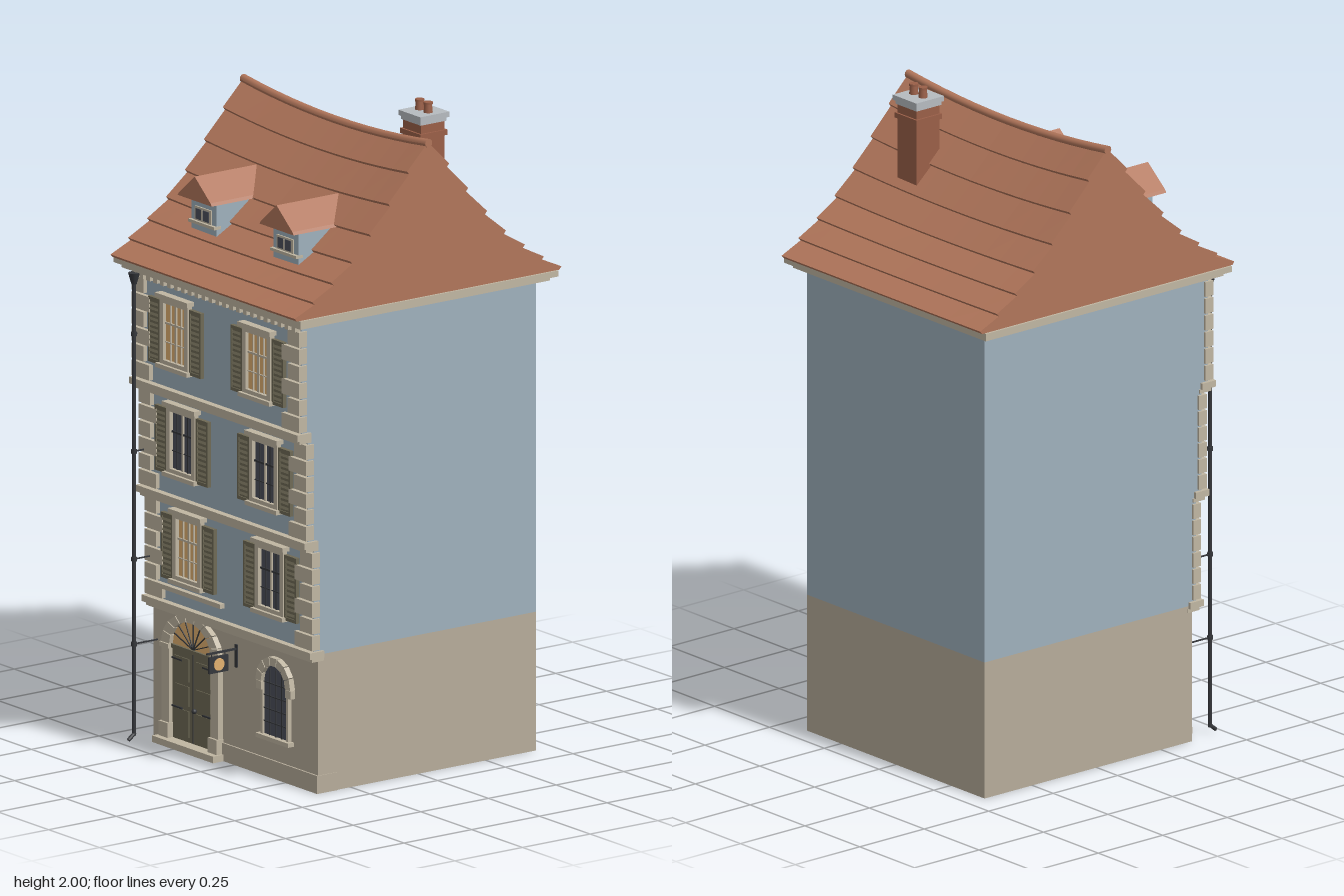
import * as THREE from 'three';

const mat = (name, color) => {
  const m = new THREE.MeshStandardMaterial({ color });
  m.name = name;
  return m;
};

export function createModel() {
  const wall = mat('blue plaster', 0x9fb0bc), base = mat('ground plaster', 0xb6ac9a);
  const stone = mat('trim stone', 0xc0b6a2), tile = mat('roof tile', 0xb0755a);
  const olive = mat('olive wood', 0x6f6a56), dark = mat('dark glass', 0x4c4f5a);
  const lit = mat('lit glass', 0xe2b070), iron = mat('iron', 0x35373b);
  const brick = mat('brick', 0x9a5f48), slab = mat('chimney cap grey', 0xb6bbc0);

  const model = new THREE.Group();
  model.name = 'townhouse';
  const group = (name, x = 0, y = 0, z = 0, parent = model) => {
    const g = new THREE.Group();
    g.name = name;
    g.position.set(x, y, z);
    parent.add(g);
    return g;
  };
  const add = (p, name, geo, m, x = 0, y = 0, z = 0) => {
    const mesh = new THREE.Mesh(geo, m);
    mesh.name = name;
    mesh.position.set(x, y, z);
    p.add(mesh);
    return mesh;
  };
  const box = (p, name, m, w, h, d, x, y, z) => add(p, name, new THREE.BoxGeometry(w, h, d), m, x, y, z);
  // box given by its limits
  const span = (p, name, m, x0, x1, y0, y1, z0, z1) =>
    box(p, name, m, x1 - x0, y1 - y0, z1 - z0, (x0 + x1) / 2, (y0 + y1) / 2, (z0 + z1) / 2);
  const rod = (p, name, m, r, h, x, y, z, n = 12) => add(p, name, new THREE.CylinderGeometry(r, r, h, n), m, x, y, z);
  const plate = (pts, depth) => new THREE.ExtrudeGeometry(
    new THREE.Shape(pts.map(([x, y]) => new THREE.Vector2(x, y))), { depth, bevelEnabled: false });
  // upper half of an ellipse as points, right to left
  const halfEllipse = (rx, ry, cy, n = 16) => Array.from({ length: n + 1 }, (_, i) => {
    const a = Math.PI * i / n;
    return [rx * Math.cos(a), cy + ry * Math.sin(a)];
  });
  const archStones = (p, cy, r, R, n, depth) => {
    const at = ([rx, ry], a) => [rx * Math.cos(a), cy + ry * Math.sin(a)];
    for (let i = 0; i < n; i++) {
      const a = Math.PI * (i + 0.04) / n, b = Math.PI * (i + 0.96) / n;
      add(p, 'archStone', plate([at(r, a), at(R, a), at(R, b), at(r, b)], depth), stone);
    }
  };

  // storeys, each reaching further forward than the one below
  const storeys = [
    { y0: 0, y1: 0.425, z: 0.37 }, { y0: 0.425, y1: 0.765, z: 0.385 },
    { y0: 0.765, y1: 1.1, z: 0.407 }, { y0: 1.1, y1: 1.45, z: 0.432 }];
  storeys.forEach((s, i) => {
    span(model, 'storey', i ? wall : base, -0.405, 0.405, s.y0, s.y1, -0.435, s.z);
    if (!i) return;
    span(model, 'stringCourse', stone, -0.415, 0.415, s.y0 - 0.008, s.y0 + 0.012, s.z - 0.03, s.z + 0.022);
    span(model, 'stringCourseFoot', stone, -0.408, 0.408, s.y0 - 0.02, s.y0 - 0.008, s.z - 0.035, s.z + 0.01);
    // corner stones, alternately long and short
    const bottom = s.y0 + 0.014, step = (s.y1 - 0.022 - bottom) / 6;
    for (const side of [-1, 1]) for (let k = 0; k < 6; k++) {
      const w = k % 2 ? 0.058 : 0.086;
      box(model, 'cornerStone', stone, w, step - 0.006, 0.03,
        side * (0.412 - w / 2), bottom + step * (k + 0.5), s.z - 0.001);
    }
  });
  span(model, 'plinth', base, -0.06, 0.408, 0, 0.055, 0.3, 0.376);

  // cornice with small blocks beneath
  span(model, 'corniceLower', stone, -0.44, 0.44, 1.443, 1.457, -0.46, 0.462);
  span(model, 'corniceUpper', stone, -0.46, 0.46, 1.457, 1.475, -0.477, 0.477);
  for (let i = 0; i < 24; i++) box(model, 'dentil', stone, 0.018, 0.018, 0.022, -0.391 + i * 0.034, 1.434, 0.441);

  // shuttered windows
  const frameShape = (w, y0, y1, inner) => {
    const s = new THREE.Shape([[-w, y0], [w, y0], [w, y1], [-w, y1]].map(p => new THREE.Vector2(...p)));
    const [iw, a, b] = inner;
    s.holes.push(new THREE.Path([[-iw, a], [-iw, b], [iw, b], [iw, a]].map(p => new THREE.Vector2(...p))));
    return s;
  };
  const makeWindow = (x, y, z, glass) => {
    const g = group('window', x, y, z);
    const surround = new THREE.ExtrudeGeometry(frameShape(0.069, 0.01, 0.215, [0.052, 0.025, 0.2]),
      { depth: 0.016, bevelEnabled: false });
    add(g, 'surround', surround, stone);
    span(g, 'pane', glass, -0.052, 0.052, 0.025, 0.2, -0.002, 0.004);
    const bar = glass === lit ? stone : iron;
    for (const s of [-1, 0, 1]) span(g, 'mullion', s ? bar : stone, s * 0.026 - (s ? 0.0015 : 0.004),
      s * 0.026 + (s ? 0.0015 : 0.004), 0.025, 0.2, 0.003, 0.009);
    span(g, 'transom', bar, -0.052, 0.052, 0.135, 0.141, 0.003, 0.009);
    span(g, 'glazingBar', bar, -0.052, 0.052, 0.078, 0.081, 0.003, 0.008);
    span(g, 'sill', stone, -0.078, 0.078, 0, 0.013, 0, 0.026);
    span(g, 'hood', stone, -0.08, 0.08, 0.215, 0.228, 0, 0.026);
    for (const side of [-1, 1]) {
      const sh = group('shutter', side * 0.101, 0.105, 0.006, g);
      box(sh, 'shutterPanel', olive, 0.058, 0.2, 0.008, 0, 0, 0);
      for (const e of [-1, 1]) {
        box(sh, 'shutterStile', olive, 0.007, 0.2, 0.013, e * 0.0255, 0, 0.001);
        box(sh, 'shutterRail', olive, 0.058, 0.01, 0.013, 0, e * 0.095, 0.001);
      }
      for (let k = 0; k < 11; k++) {
        const slat = box(sh, 'slat', olive, 0.044, 0.009, 0.004, 0, -0.08 + k * 0.016, 0.004);
        slat.rotation.x = -0.5;
      }
    }
  };
  [[0.503, 1, lit, dark], [0.835, 2, dark, dark], [1.172, 3, lit, lit]].forEach(([y, i, a, b]) => {
    makeWindow(-0.203, y, storeys[i].z, a);
    makeWindow(0.203, y, storeys[i].z, b);
  });
  span(model, 'ledge', stone, -0.37, -0.035, 0.474, 0.488, 0.38, 0.402);

  // entrance
  const door = group('entrance', -0.203, 0, 0.37);
  span(door, 'step', stone, -0.15, 0.15, 0, 0.02, -0.01, 0.045);
  for (const s of [-1, 1]) {
    box(door, 'jamb', stone, 0.037, 0.285, 0.02, s * 0.121, 0.1625, 0.008);
    box(door, 'jambFoot', stone, 0.044, 0.045, 0.03, s * 0.121, 0.0425, 0.011);
    box(door, 'impost', stone, 0.044, 0.014, 0.028, s * 0.121, 0.3, 0.01);
    box(door, 'doorLeaf', olive, 0.1, 0.275, 0.008, s * 0.0515, 0.1575, 0.002);
    for (const [y, h] of [[0.075, 0.08], [0.16, 0.06], [0.24, 0.07]])
      box(door, 'doorPanel', olive, 0.07, h, 0.006, s * 0.052, y, 0.006);
    for (const y of [0.118, 0.265]) box(door, 'hinge', iron, 0.05, 0.005, 0.004, s * 0.075, y, 0.008);
  }
  span(door, 'doorSeam', iron, -0.002, 0.002, 0.02, 0.295, 0, 0.007);
  add(door, 'knob', new THREE.SphereGeometry(0.008, 12, 8), iron, 0.018, 0.125, 0.015);
  span(door, 'transom', olive, -0.103, 0.103, 0.295, 0.307, 0, 0.012);
  add(door, 'fanlight', plate(halfEllipse(0.103, 0.088, 0.306), 0.004), lit);
  for (let i = 1; i < 8; i++) {
    const a = Math.PI * i / 8, x = 0.1 * Math.cos(a), y = 0.086 * Math.sin(a);
    box(door, 'fanBar', iron, Math.hypot(x, y), 0.003, 0.004, x / 2, 0.307 + y / 2, 0.005).rotation.z = Math.atan2(y, x);
  }
  archStones(door, 0.305, [0.102, 0.087], [0.142, 0.108], 9, 0.018);

  // arched ground window
  const arch = group('archedWindow', 0.205, 0, 0.37);
  add(arch, 'pane', plate([[-0.06, 0.13], [0.06, 0.13], ...halfEllipse(0.06, 0.06, 0.29)], 0.004), dark);
  for (const s of [-1, 1]) {
    box(arch, 'jamb', stone, 0.01, 0.16, 0.014, s * 0.063, 0.21, 0.005);
    box(arch, 'springer', stone, 0.026, 0.025, 0.018, s * 0.072, 0.277, 0.007);
  }
  for (const x of [-0.03, 0, 0.03]) box(arch, 'windowBar', iron, 0.004, 0.205, 0.005, x, 0.232, 0.006);
  for (let y = 0.17; y < 0.32; y += 0.04) box(arch, 'windowBar', iron, 0.116, 0.003, 0.005, 0, y, 0.006);
  archStones(arch, 0.29, [0.06, 0.06], [0.086, 0.086], 7, 0.018);
  span(arch, 'sill', stone, -0.08, 0.08, 0.117, 0.13, 0, 0.022);

  // hanging sign
  const sign = group('hangingSign', 0.006, 0, 0);
  span(sign, 'bracket', iron, -0.003, 0.003, 0.354, 0.36, 0.365, 0.482);
  span(sign, 'wallPlate', iron, -0.005, 0.005, 0.3, 0.37, 0.367, 0.375);
  span(sign, 'signBoard', iron, -0.004, 0.004, 0.296, 0.346, 0.405, 0.475);
  for (const z of [0.415, 0.465]) span(sign, 'hanger', iron, -0.001, 0.001, 0.34, 0.356, z - 0.001, z + 0.001);
  rod(sign, 'signDisc', lit, 0.019, 0.012, 0, 0.321, 0.44, 20).rotation.z = Math.PI / 2;

  // drainpipe
  const drain = group('drainpipe', -0.385, 0, 0.457);
  rod(drain, 'pipe', iron, 0.006, 1.4, 0, 0.72, 0);
  add(drain, 'hopper', new THREE.CylinderGeometry(0.018, 0.008, 0.035, 12), iron, 0, 1.42, 0);
  rod(drain, 'spout', iron, 0.006, 0.03, 0, 0.018, 0.009).rotation.x = -0.9;
  [0.3, 0.56, 0.89, 1.25].forEach((y, i) => {
    rod(drain, 'clip', iron, 0.009, 0.012, 0, y, 0);
    span(drain, 'clipArm', iron, -0.002, 0.002, y - 0.002, y + 0.002, storeys[i].z - 0.457, 0);
  });

  // flared, stepped and sagging roof
  const slope = [[0.485, 1.475], [0.42, 1.515], [0.35, 1.562], [0.28, 1.615], [0.21, 1.685], [0.14, 1.765], [0.07, 1.85], [0, 1.935]];
  const half = [];
  slope.slice(0, -1).forEach(([z, y], i) => {
    half.push([z, y], [z + 0.008, y + 0.009], slope[i + 1]);
  });
  const outline = [...half, ...half.slice(0, -1).reverse().map(([z, y]) => [-z, y])]
    .filter((p, i, a) => !i || p[0] !== a[i - 1][0] || p[1] !== a[i - 1][1]);
  const W = 0.453, sag = (x, y) => Math.max(0, (y - 1.475) / 0.46) * (0.028 * (x / W) ** 2 - 0.018);
  const sagged = geo => {
    const p = geo.attributes.position;
    for (let i = 0; i < p.count; i++) p.setY(i, p.getY(i) + sag(p.getX(i), p.getY(i)));
    geo.computeVertexNormals();
    return geo;
  };
  const roof = new THREE.ExtrudeGeometry(new THREE.Shape(outline.map(p => new THREE.Vector2(...p))),
    { depth: 2 * W, steps: 12, bevelEnabled: false });
  add(model, 'roof', sagged(roof.translate(0, 0, -W).rotateY(Math.PI / 2)), tile);
  const ridge = new THREE.CylinderGeometry(0.013, 0.013, 2 * W + 0.006, 12, 12).rotateZ(Math.PI / 2).translate(0, 1.932, 0);
  add(model, 'ridgeTiles', sagged(ridge), tile);

  // dormers
  for (const x of [-0.203, 0.2]) {
    const d = group('dormer', x);
    span(d, 'dormerBody', wall, -0.062, 0.062, 1.55, 1.695, 0.18, 0.335);
    add(d, 'dormerRoof', plate([[-0.084, 1.683], [0.084, 1.683], [0.078, 1.692], [0, 1.757], [-0.078, 1.692]], 0.23), tile, 0, 0, 0.14);
    span(d, 'dormerFrame', stone, -0.04, 0.04, 1.612, 1.655, 0.33, 0.34);
    span(d, 'dormerPane', dark, -0.032, 0.032, 1.617, 1.649, 0.335, 0.342);
    span(d, 'dormerMullion', stone, -0.002, 0.002, 1.617, 1.649, 0.336, 0.344);
    span(d, 'dormerSill', stone, -0.064, 0.064, 1.602, 1.611, 0.32, 0.346);
  }

  // chimney
  const chimney = group('chimney', 0.23, 0, -0.152);
  box(chimney, 'stack', brick, 0.088, 0.3, 0.088, 0, 1.8, 0);
  box(chimney, 'stackBand', brick, 0.1, 0.016, 0.1, 0, 1.905, 0);
  box(chimney, 'capLower', slab, 0.096, 0.012, 0.096, 0, 1.946, 0);
  box(chimney, 'capUpper', slab, 0.108, 0.016, 0.108, 0, 1.96, 0);
  for (const x of [-0.021, 0.021]) {
    add(chimney, 'pot', new THREE.CylinderGeometry(0.011, 0.014, 0.032, 16), brick, x, 1.983, 0);
    rod(chimney, 'potRim', brick, 0.014, 0.007, x, 1.9965, 0, 16);
  }
  return model;
}
